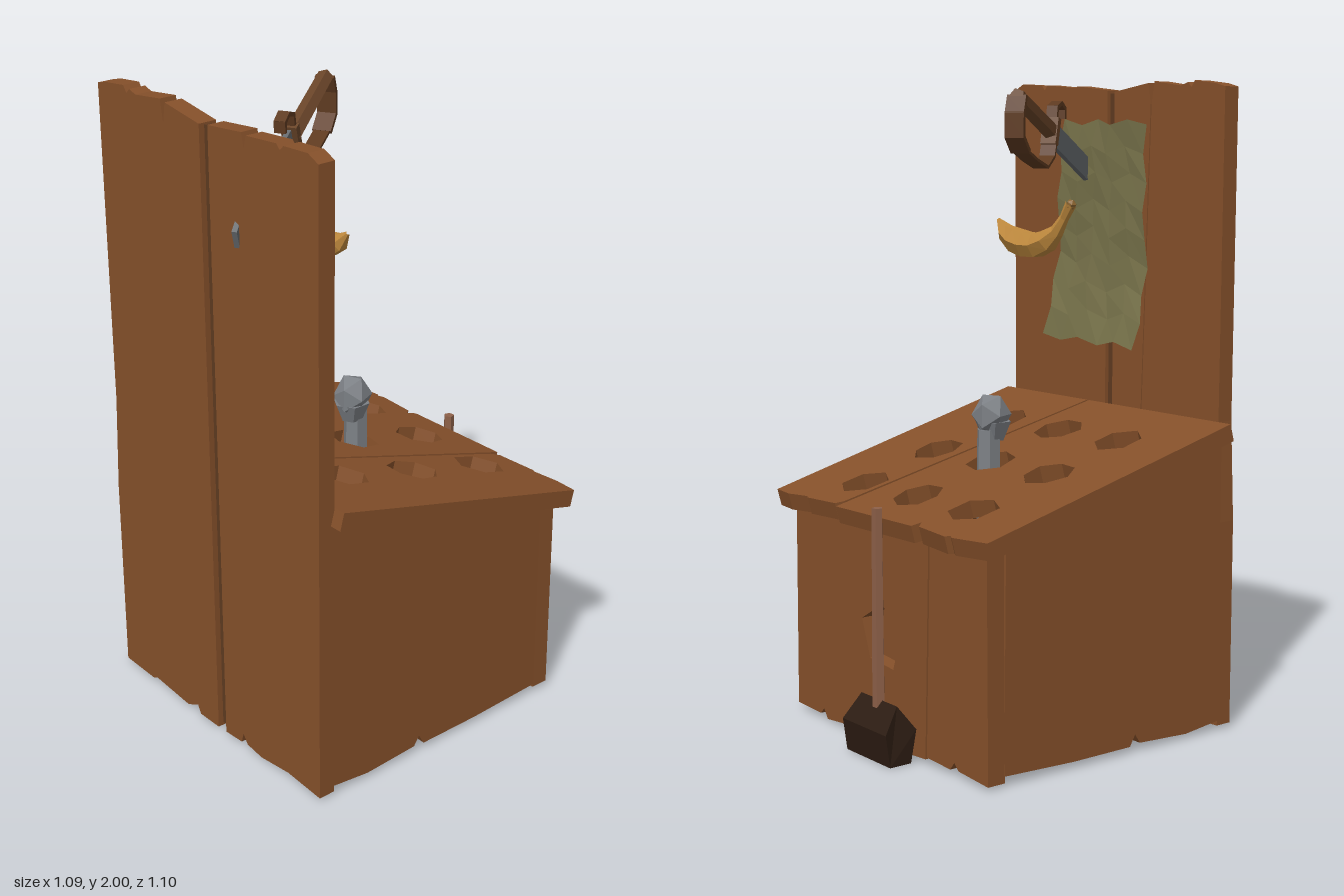
import * as THREE from 'three';

const mat = (color, side = THREE.FrontSide) => new THREE.MeshStandardMaterial({ color, side, flatShading: true });
const wood = mat(0x85502a), woodDark = mat(0x5e3a20), dark = mat(0x1a110a), grip = mat(0x6a4529);
const steel = mat(0x666a6e), stone = mat(0x7c8085), paper = mat(0x77724a, THREE.DoubleSide), fruit = mat(0xc08a3e);

const toShape = (pts) => new THREE.Shape(pts.map(([x, y]) => new THREE.Vector2(x, y)));
const ring = (cx, cy, r, n, turn) => Array.from({ length: n }, (_, i) => {
  const a = turn + (i / n) * Math.PI * 2;
  const k = r * (1 + 0.05 * Math.sin(i * 2.3 + cx * 9 + cy * 5));
  return [cx + Math.cos(a) * k, cy + Math.sin(a) * k];
});

function add(parent, name, geo, material, x = 0, y = 0, z = 0) {
  const m = new THREE.Mesh(geo, material);
  m.name = name;
  m.position.set(x, y, z);
  parent.add(m);
  return m;
}

// Flat board cut from an outline, with optional holes
function board(pts, depth, holes = []) {
  const s = toShape(pts);
  holes.forEach((h) => s.holes.push(new THREE.Path(h.map(([x, y]) => new THREE.Vector2(x, y)))));
  return new THREE.ExtrudeGeometry(s, { depth, bevelEnabled: false });
}

// Chain of flat bars through points in the xy plane
function bars(parent, name, pts, material, thick, width) {
  for (let i = 0; i < pts.length - 1; i++) {
    const [ax, ay] = pts[i], [bx, by] = pts[i + 1];
    const m = add(parent, name, new THREE.BoxGeometry(Math.hypot(bx - ax, by - ay) + thick * 0.5, thick, width),
      material, (ax + bx) / 2, (ay + by) / 2, 0);
    m.rotation.z = Math.atan2(by - ay, bx - ax);
  }
}

function buildTallPanel(g) {
  const planks = [
    [[-0.5, 0.015], [-0.35, 0.01], [-0.33, 0.02], [-0.16, 0.005], [-0.106, 0.03], [-0.168, 1.93], [-0.18, 2],
      [-0.3, 1.985], [-0.33, 1.995], [-0.345, 1.98], [-0.36, 2], [-0.45, 1.99], [-0.49, 1.98], [-0.485, 0.97], [-0.5, 0.66]],
    [[-0.104, 0.03], [-0.09, 0.005], [0.003, 0.005], [0.003, 1.97], [-0.155, 1.995], [-0.166, 1.93]],
    [[0.04, 0.005], [0.12, 0.01], [0.13, 0.045], [0.15, 0.015], [0.22, 0.005], [0.35, 0.02], [0.5, 0.01], [0.505, 0.97],
      [0.512, 1.98], [0.47, 2], [0.37, 1.995], [0.355, 1.98], [0.34, 1.995], [0.21, 1.985], [0.2, 1.945], [0.19, 1.99], [0.04, 1.975]],
  ];
  planks.forEach((p, i) => add(g, 'tallPanelPlank', board(p, 0.055 + (i % 2) * 0.004), wood, 0, 0, 0.482 - (i % 2) * 0.002));
  add(g, 'panelBatten', new THREE.BoxGeometry(0.04, 1.95, 0.025), woodDark, 0.021, 0.99, 0.508);
}

function buildCabinet(g) {
  // Side walls follow the slope of the lid
  const side = [[0.482, 0.03], [0.35, 0.015], [0.16, 0.025], [0.14, 0.055], [0.12, 0.02], [-0.1, 0.02],
    [-0.36, 0.03], [-0.354, 0.692], [0.482, 0.915]];
  for (const x of [0.5, -0.465]) {
    add(g, 'sideWall', board(side, 0.035), wood, x).rotation.y = -Math.PI / 2;
  }
  // Wall with a broken hole, made of three planks
  const planks = [
    [[-0.5, 0.01], [-0.36, 0.02], [-0.34, 0.04], [-0.32, 0.015], [-0.205, 0.02], [-0.225, 0.68], [-0.495, 0.68]],
    [[-0.203, 0.015], [-0.05, 0.005], [0.1, 0.02], [0.215, 0.01], [0.235, 0.68], [-0.223, 0.68]],
    [[0.217, 0.015], [0.33, 0.005], [0.35, 0.035], [0.37, 0.015], [0.5, 0.02], [0.495, 0.68], [0.237, 0.68]],
  ];
  planks.forEach((p, i) => add(g, 'holedWallPlank',
    board(p, 0.06, i === 1 ? [ring(0.02, 0.34, 0.105, 5, 0.35)] : []), wood, 0, 0, i === 1 ? -0.422 : -0.418));
  add(g, 'holePatch', new THREE.BoxGeometry(0.3, 0.3, 0.01), wood, 0.02, 0.34, -0.366);
  // Dark hollow inside and its floor
  const hollow = [[0.479, 0.045], [-0.35, 0.045], [-0.35, 0.69], [0.479, 0.91]];
  add(g, 'darkInterior', board(hollow, 0.926), mat(0x1a110a, THREE.BackSide), 0.463).rotation.y = -Math.PI / 2;
  add(g, 'floor', new THREE.BoxGeometry(0.93, 0.02, 0.835), dark, 0, 0.035, 0.062);
}

function buildLid(g) {
  const lid = new THREE.Group();
  lid.name = 'slopedLid';
  lid.position.set(0, 0.917, 0.494);
  lid.rotation.x = -(Math.PI / 2 + 0.26);
  g.add(lid);
  // Local x is across, local y runs down the slope
  const rows = [0.233, 0.517, 0.807];
  const holes = (xs) => xs.flatMap((x, i) => rows.map((v, j) => ring(x, v, 0.08, 6 + ((i + j) % 2), Math.PI / 6 + i * 0.2)));
  const left = [[-0.54, 0], [0.117, 0], [0.193, 0.98], [-0.19, 0.972], [-0.2, 0.94], [-0.22, 0.965],
    [-0.36, 0.978], [-0.375, 0.967], [-0.39, 0.975], [-0.53, 0.955]];
  const right = [[0.127, 0], [0.545, 0], [0.538, 0.975], [0.46, 0.982], [0.37, 0.968], [0.36, 0.975], [0.22, 0.965], [0.203, 0.94]];
  add(lid, 'lidBoard', board(left, 0.055, holes([-0.28, 0])), wood);
  add(lid, 'lidBoard', board(right, 0.055, holes([0.28])), wood);
  add(lid, 'lidSeam', board([[0.11, 0], [0.134, 0], [0.206, 0.93], [0.184, 0.93]], 0.03), woodDark, 0, 0, 0.005);
}

function buildMallet(g) {
  const m = new THREE.Group();
  m.name = 'mallet';
  m.position.set(-0.056, 0, -0.485);
  g.add(m);
  add(m, 'malletHandle', new THREE.CylinderGeometry(0.017, 0.02, 0.62, 5), mat(0x8d6048), 0, 0.445, 0);
  const end = [[-0.04, 0], [0.035, 0], [0.055, 0.1], [0, 0.175], [-0.055, 0.1]];
  const mid = board(end, 0.226);
  // Taper the striking faces slightly
  const p = mid.attributes.position;
  for (let i = 0; i < p.count; i++) {
    if (p.getY(i) > 0.12) p.setZ(i, 0.113 + (p.getZ(i) - 0.113) * 0.82);
  }
  add(m, 'malletHead', mid, mat(0x2c1c12), 0.113, 0, 0).rotation.y = -Math.PI / 2;
}

function buildPeg(g) {
  const peg = new THREE.Group();
  peg.name = 'popUpPeg';
  peg.position.set(-0.01, 0, -0.025);
  g.add(peg);
  add(peg, 'pegStem', new THREE.CylinderGeometry(0.037, 0.043, 0.4, 6), stone, 0, 0.74, -0.012);
  const head = add(peg, 'pegHead', new THREE.IcosahedronGeometry(0.066, 0), stone, 0, 0.985, 0);
  head.scale.set(0.9, 1.05, 1.05);
  head.rotation.y = 0.4;
  add(peg, 'pegChin', new THREE.CylinderGeometry(0.06, 0.035, 0.06, 6), stone, 0, 0.935, 0.005);
}

function buildSword(g) {
  const s = new THREE.Group();
  s.name = 'sword';
  // Local x runs from the tip to the hilt, local y is the blade's upper edge
  const d = new THREE.Vector3(-0.37, 0.26, -0.63).normalize();
  const across = new THREE.Vector3().crossVectors(d, new THREE.Vector3(0, 1, 0)).normalize();
  const up = new THREE.Vector3().crossVectors(across, d);
  s.quaternion.setFromRotationMatrix(new THREE.Matrix4().makeBasis(d, up, across));
  s.position.set(0.17, 1.69, 0.55);
  g.add(s);
  add(s, 'blade', board([[0, -0.036], [0.47, -0.036], [0.47, 0.034], [0.04, 0.034], [0, 0.02]], 0.016), steel, 0, 0, -0.008);
  const handle = add(s, 'swordHandle', new THREE.CylinderGeometry(0.027, 0.025, 0.31, 5), grip, 0.62, 0, 0);
  handle.rotation.z = Math.PI / 2;
  add(s, 'guardBlock', new THREE.BoxGeometry(0.025, 0.085, 0.05), grip, 0.465, 0, 0);
  bars(s, 'guardCurl', [[0.467, 0.03], [0.471, 0.077], [0.441, 0.1], [0.405, 0.095], [0.397, 0.068]], woodDark, 0.013, 0.035);
  bars(s, 'knuckleBow', [[0.465, -0.03], [0.466, -0.08], [0.509, -0.128], [0.6, -0.137], [0.69, -0.139]], woodDark, 0.009, 0.05);
  bars(s, 'knuckleBow', [[0.69, -0.139], [0.748, -0.115], [0.77, -0.05], [0.768, 0]], woodDark, 0.014, 0.06);
}

function buildBanana(g) {
  const path = new THREE.CatmullRomCurve3([[0.1, 1.575], [0.06, 1.535], [-0.02, 1.507], [-0.11, 1.508], [-0.185, 1.55],
    [-0.225, 1.6], [-0.25, 1.635]].map(([x, y]) => new THREE.Vector3(x, y, 0.088)));
  const radii = [0.006, 0.029, 0.041, 0.043, 0.041, 0.036, 0.022, 0.015, 0.018];
  const n = radii.length - 1;
  const geo = new THREE.TubeGeometry(path, n, 1, 6);
  const p = geo.attributes.position, v = new THREE.Vector3();
  for (let i = 0; i < p.count; i++) {
    const k = Math.floor(i / 7), c = path.getPointAt(k / n);
    v.fromBufferAttribute(p, i).sub(c).multiplyScalar(radii[k]).add(c);
    p.setXYZ(i, v.x, v.y, v.z);
  }
  add(g, 'banana', geo, fruit);
  add(g, 'bananaStemEnd', new THREE.IcosahedronGeometry(0.017, 0), mat(0x8a6430), -0.25, 1.632, 0.088);
}

// Torn paper sheet curling away from the panel at its lower edge
function buildPaper(g) {
  const geo = new THREE.PlaneGeometry(0.42, 0.7, 5, 8);
  const p = geo.attributes.position;
  for (let i = 0; i < p.count; i++) {
    const x = p.getX(i), y = p.getY(i), t = Math.max(0, -y - 0.12);
    p.setXYZ(i, x + 0.045 + 0.012 * Math.sin(y * 31) - 0.03 * y * Math.sign(x),
      y + 1.525 + 0.018 * Math.sin(x * 37 + y * 3), 0.463 - t * 0.21 + 0.006 * Math.sin(y * 17 + x * 14));
  }
  add(g, 'paperSheet', geo, paper);
}

export function createModel() {
  const g = new THREE.Group();
  g.name = 'gameBooth';
  [buildTallPanel, buildCabinet, buildLid, buildMallet, buildPeg, buildSword, buildBanana, buildPaper].forEach((f) => f(g));
  return g;
}
